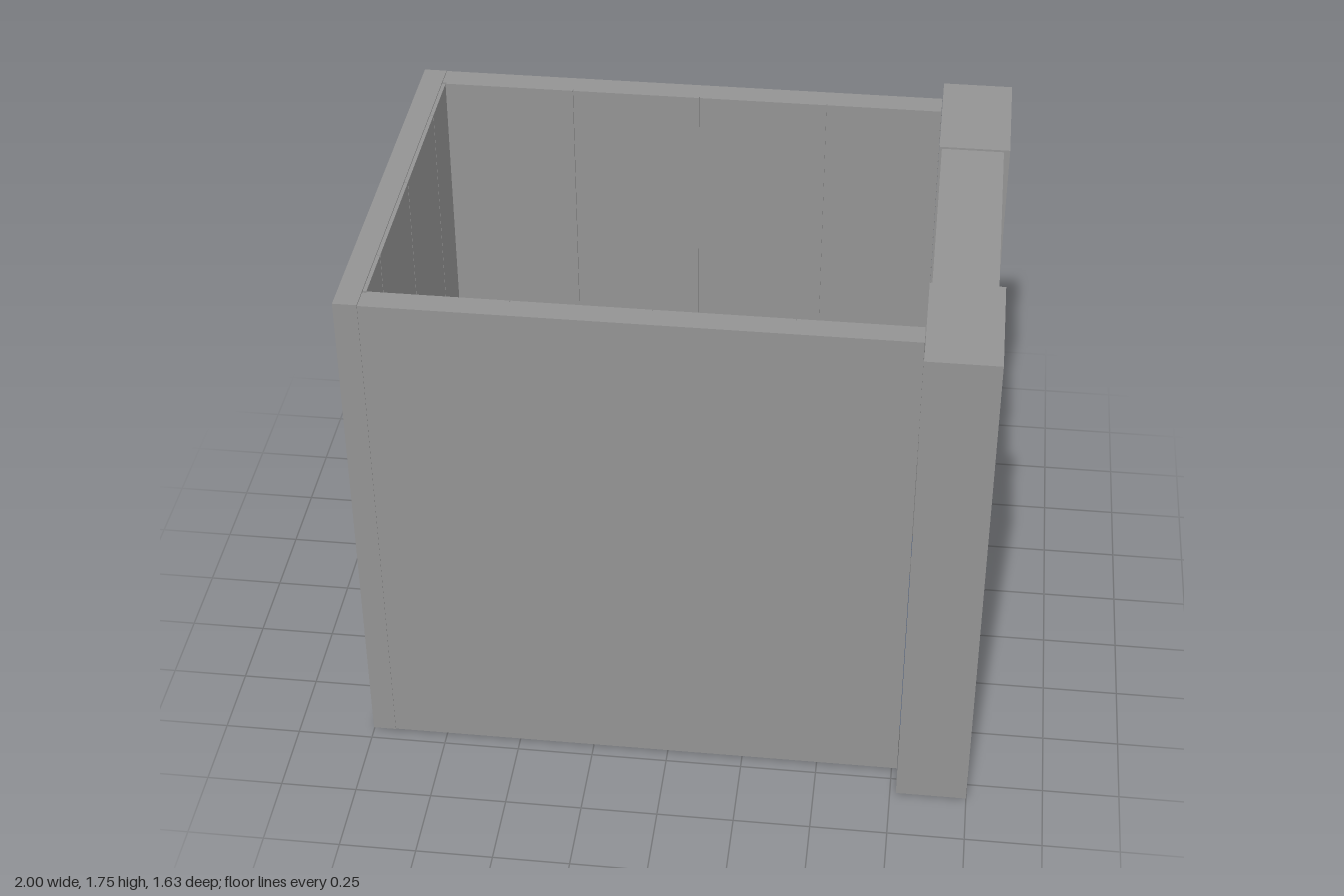
import * as THREE from 'three';

const paint = (color) => new THREE.MeshStandardMaterial({ color });
const wallGrey = paint(0x939393);
const trimGrey = paint(0x7b7b7b);
const doorGrey = paint(0x757575);
const skirtGrey = paint(0x555555);
const floorBlue = paint(0x475776);

export function createModel() {
  const cabin = new THREE.Group();
  cabin.name = 'elevatorCabin';

  // Box given by its minimum and maximum on each axis
  const block = (name, [x0, x1], [y0, y1], [z0, z1], material = wallGrey) => {
    const mesh = new THREE.Mesh(new THREE.BoxGeometry(x1 - x0, y1 - y0, z1 - z0), material);
    mesh.position.set((x0 + x1) / 2, (y0 + y1) / 2, (z0 + z1) / 2);
    mesh.name = name;
    cabin.add(mesh);
  };

  // Floor and door sill
  block('floor', [-0.91, 0.775], [0.006, 0.02], [-0.635, 0.625], floorBlue);
  block('doorSill', [0.775, 0.88], [0.008, 0.02], [-0.4, 0.4], trimGrey);

  // Outer shell
  const bottom = 0.01, top = 1.742;
  block('endWall', [-1, -0.925], [bottom, top], [-0.722, 0.712]);
  block('frontWall', [-0.925, 0.768], [bottom, top - 0.004], [0.638, 0.71]);
  block('backWall', [-0.925, 0.768], [bottom, top - 0.004], [-0.727, -0.648]);

  // Lining panels with narrow seams
  const seam = 0.0015, lining = [bottom, top - 0.004];
  const joints = [-0.913, -0.475, -0.045, 0.385, 0.768];
  for (let i = 0; i < 4; i++) {
    const span = [joints[i] + seam, joints[i + 1] - seam];
    block('frontLiningPanel', span, lining, [0.63, 0.639]);
    block('backLiningPanel', span, lining, [-0.649, -0.64]);
  }
  for (const [z0, z1] of [[-0.64, -0.425], [-0.425, 0.003], [0.003, 0.43], [0.43, 0.63]]) {
    block('endLiningPanel', [-0.926, -0.913], lining, [z0 + seam, z1 - seam]);
  }

  // Skirting boards and handrails
  const skirt = [0.005, 0.09], rail = [0.785, 0.82];
  block('endSkirting', [-0.913, -0.893], skirt, [-0.64, 0.63], skirtGrey);
  block('frontSkirting', [-0.893, 0.77], skirt, [0.607, 0.63], skirtGrey);
  block('backSkirting', [-0.893, 0.77], skirt, [-0.64, -0.617], skirtGrey);
  block('endHandrail', [-0.913, -0.87], rail, [-0.53, 0.53], trimGrey);
  block('frontHandrail', [-0.9, 0.77], rail, [0.583, 0.63], trimGrey);
  block('backHandrail', [-0.9, 0.77], rail, [-0.64, -0.595], trimGrey);

  // Door frame
  block('frontDoorColumn', [0.77, 1], [0, 1.745], [0.4, 0.815]);
  block('backDoorColumn', [0.77, 1], [0, 1.745], [-0.82, -0.4]);
  block('lintel', [0.778, 0.98], [1.42, 1.738], [-0.4, 0.393]);

  // Sliding doors
  block('frontDoor', [0.84, 0.88], [0.018, 1.425], [0.002, 0.4], doorGrey);
  block('backDoor', [0.84, 0.88], [0.018, 1.425], [-0.4, -0.002], doorGrey);

  // Control panel inside the front column
  const r = 0.025, w = 0.06, h = 0.165;
  const outline = new THREE.Shape();
  outline.moveTo(-w + r, -h).lineTo(w - r, -h);
  outline.absarc(w - r, -h + r, r, -Math.PI / 2, 0);
  outline.absarc(w - r, h - r, r, 0, Math.PI / 2);
  outline.absarc(-w + r, h - r, r, Math.PI / 2, Math.PI);
  outline.absarc(-w + r, -h + r, r, Math.PI, Math.PI * 1.5);
  const plate = new THREE.Mesh(
    new THREE.ExtrudeGeometry(outline, { depth: 0.01, bevelEnabled: false, curveSegments: 5 }), trimGrey);
  plate.name = 'controlPanel';
  plate.rotation.y = -Math.PI / 2;
  plate.position.set(0.77, 1.045, 0.51);
  cabin.add(plate);

  // Round display and buttons
  const button = (name, y, z, radius) => {
    const mesh = new THREE.Mesh(new THREE.CylinderGeometry(radius, radius, 0.006, 20), wallGrey);
    mesh.rotation.z = Math.PI / 2;
    mesh.position.set(0.758, y, z);
    mesh.name = name;
    cabin.add(mesh);
  };
  button('display', 1.15, 0.51, 0.035);
  for (let row = 0; row < 4; row++) {
    for (const side of [-1, 1]) button('button', 0.93 + row * 0.05, 0.51 + side * 0.025, 0.016);
  }

  return cabin;
}
